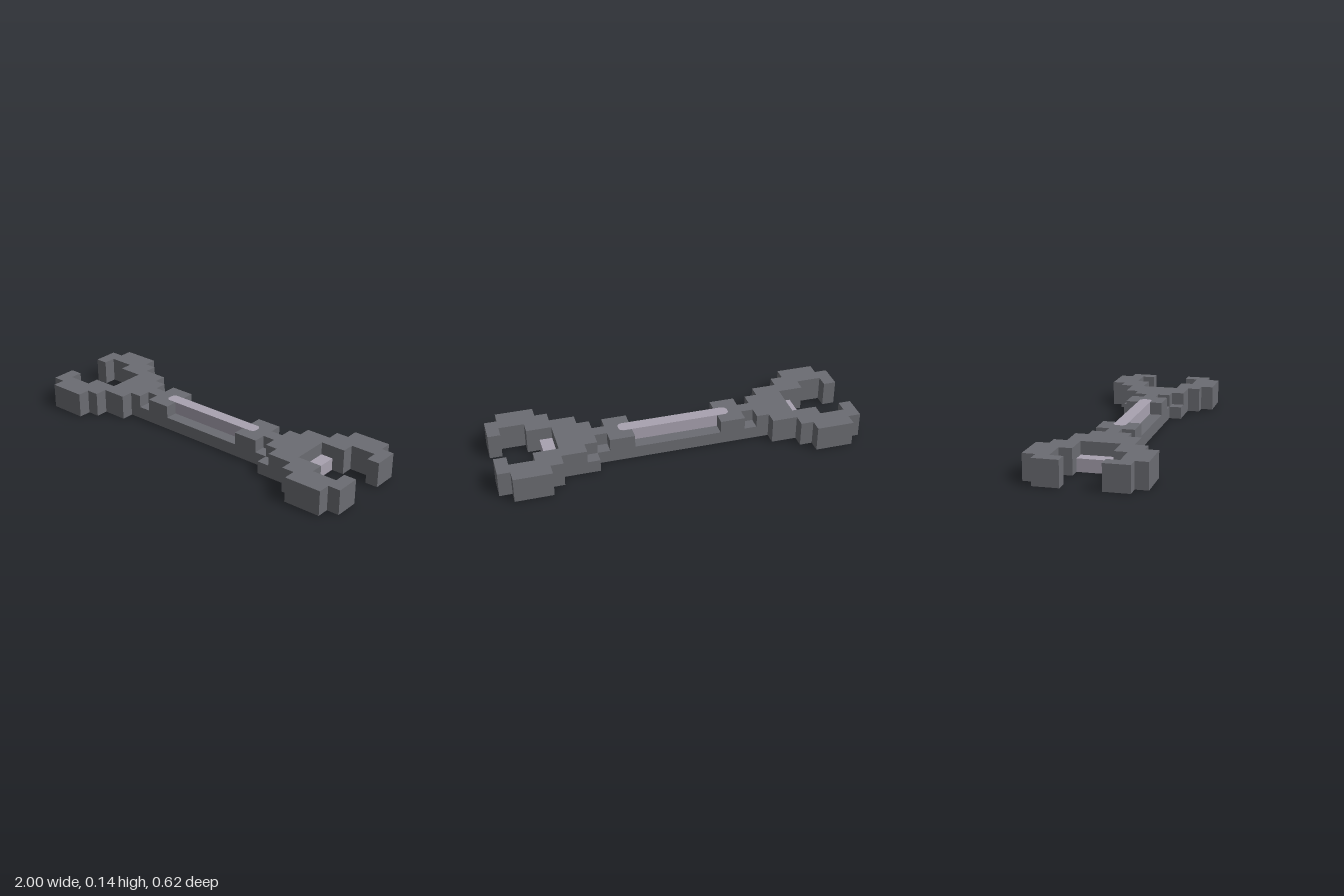
import * as THREE from 'three';

const U = 2 / 29; // one block of the stepped outline

// Extrudes a plan shape (drawn in x and z) upwards between two heights
function slab(name, shape, y0, y1, material) {
  const geometry = new THREE.ExtrudeGeometry(shape, {
    depth: y1 - y0, bevelEnabled: false, curveSegments: 6,
  });
  geometry.rotateX(-Math.PI / 2).translate(0, y0, 0);
  const mesh = new THREE.Mesh(geometry, material);
  mesh.name = name;
  return mesh;
}

// Closed outline from one quarter profile, mirrored over z
function mirroredOutline(points, side) {
  const upper = points.map(([x, z]) => [x * side, z]);
  const lower = upper.map(([x, z]) => [x, -z]).reverse();
  const all = [...upper, ...lower];
  return new THREE.Shape(all.map(([x, z]) => new THREE.Vector2(x * U, z * U)));
}

// Rectangle with a chosen corner radius at its low-x and high-x ends
function roundedPlan(x0, x1, h, r0, r1) {
  const s = new THREE.Shape();
  s.moveTo(x0 + r0, -h);
  s.lineTo(x1 - r1, -h);
  if (r1) s.absarc(x1 - r1, -h + r1, r1, -Math.PI / 2, 0, false);
  s.lineTo(x1, h - r1);
  if (r1) s.absarc(x1 - r1, h - r1, r1, 0, Math.PI / 2, false);
  s.lineTo(x0 + r0, h);
  if (r0) s.absarc(x0 + r0, h - r0, r0, Math.PI / 2, Math.PI, false);
  s.lineTo(x0, -h + r0);
  if (r0) s.absarc(x0 + r0, -h + r0, r0, Math.PI, Math.PI * 1.5, false);
  return s;
}

export function createModel() {
  const group = new THREE.Group();
  const dark = new THREE.MeshStandardMaterial({ color: 0x6b6c72 });
  dark.name = 'darkMetal';
  const light = new THREE.MeshStandardMaterial({ color: 0xa8a2b0 });
  light.name = 'paleMetal';

  // Stepped jaw, from the neck round the prong to the inner mouth
  const jaw = [
    [9.5, 2.5], [9.5, 3.5], [10.5, 3.5], [10.5, 4.5], [13.5, 4.5], [13.5, 3.5],
    [14.5, 3.5], [14.5, 1.5], [13.5, 1.5], [13.5, 2.5], [11.5, 2.5], [11.5, 1.5], [9.5, 1.5],
  ];

  for (const side of [-1, 1]) {
    const end = side < 0 ? 'right' : 'left';
    // Low layer; the left end carries a low shelf beside the neck
    const neck = side > 0 ? 6.5 : 7.5;
    const low = [[0, 1.5], [neck, 1.5], [neck, 2.5], ...jaw];
    group.add(slab(end + 'LowerHead', mirroredOutline(low, side), 0, U, dark));

    // High layer with a notch on each edge of the handle
    const high = [[3.5, 1.5], [5.5, 1.5], [5.5, 0.5], [6.5, 0.5], [6.5, 1.5],
      [7.5, 1.5], [7.5, 2.5], ...jaw];
    group.add(slab(end + 'UpperHead', mirroredOutline(high, side), U, 2 * U, dark));

    // Pale block at the back of the mouth, its rounded root set in the underside
    const root = 0.7 * U;
    const plan = side > 0
      ? roundedPlan(8.5 * U, 10.5 * U, 1.5 * U, root, 0)
      : roundedPlan(-10.5 * U, -8.5 * U, 1.5 * U, 0, root);
    group.add(slab(end + 'MouthInsert', plan, -0.001, U - 0.001, light));
  }

  // Pale raised bar along the handle
  const bar = roundedPlan(-4.5 * U, 4.5 * U, 0.5 * U, 0.4 * U, 0.4 * U);
  group.add(slab('handleBar', bar, U, 2 * U + 0.001, light));

  return group;
}
